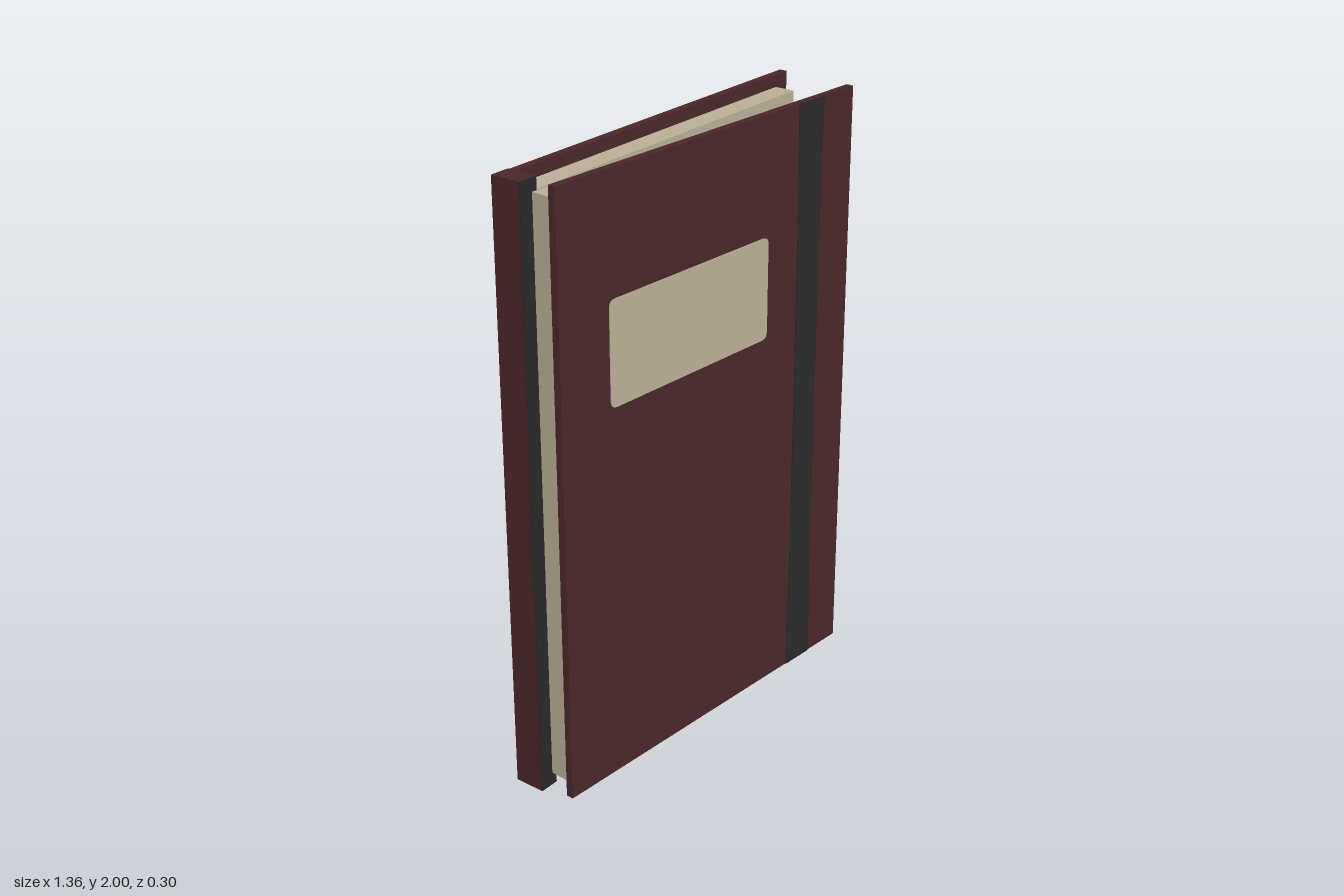
import * as THREE from 'three';

export function createModel() {
  const book = new THREE.Group();
  book.name = 'notebook';

  const mat = (name, color, side = THREE.FrontSide) => {
    const m = new THREE.MeshStandardMaterial({ color, side });
    m.name = name;
    return m;
  };
  const leather = mat('maroon leather', 0x4a2729);
  const paper = mat('cream paper', 0xb9af96);
  const elastic = mat('black elastic', 0x292929);

  const add = (parent, name, geometry, material) => {
    const mesh = new THREE.Mesh(geometry, material);
    mesh.name = name;
    parent.add(mesh);
    return mesh;
  };
  // Box given by its limits on each axis
  const block = (parent, name, [x0, x1], [y0, y1], [z0, z1], material) => {
    const g = new THREE.BoxGeometry(x1 - x0, y1 - y0, z1 - z0);
    g.translate((x0 + x1) / 2, (y0 + y1) / 2, (z0 + z1) / 2);
    return add(parent, name, g, material);
  };
  const full = [0, 2], pageHeight = [0.045, 1.96];

  // Back half: cover, page block and spine with a dark inner lining
  block(book, 'backCover', [-0.64, 0.68], full, [-0.145, -0.119], leather);
  block(book, 'backPages', [-0.612, 0.622], pageHeight, [-0.119, -0.05], paper);
  block(book, 'spine', [-0.68, -0.612], full, [-0.15, -0.048], leather);
  block(book, 'spineLining', [-0.68, -0.612], full, [-0.048, -0.045], elastic);

  // Front half, swung slightly open
  const front = new THREE.Group();
  front.name = 'frontHalf';
  front.position.set(0.008, 0, 0.088);
  front.rotation.y = -0.069;
  book.add(front);
  block(front, 'frontCover', [-0.66, 0.66], full, [-0.0125, 0.0125], leather);
  block(front, 'frontPages', [-0.648, 0.606], pageHeight, [-0.0875, -0.0125], paper);

  // Label plate with softened corners
  const [l, r, b, t, c] = [-0.458, 0.252, 1.27, 1.61, 0.025];
  const label = new THREE.Shape();
  label.moveTo(l + c, b);
  label.lineTo(r - c, b);
  label.quadraticCurveTo(r, b, r, b + c);
  label.lineTo(r, t - c);
  label.quadraticCurveTo(r, t, r - c, t);
  label.lineTo(l + c, t);
  label.quadraticCurveTo(l, t, l, t - c);
  label.lineTo(l, b + c);
  label.quadraticCurveTo(l, b, l + c, b);
  const plate = (name, shape, material) => {
    const g = new THREE.ExtrudeGeometry(shape, { depth: 0.003, bevelEnabled: false, curveSegments: 4 });
    add(front, name, g, material).position.z = 0.0125;
  };
  plate('label', label, paper);

  // Elastic band, slightly narrower along its middle
  const half = [[0, 0.06], [0.05, 0.06], [0.3, 0.055], [1, 0.053], [1.7, 0.055], [1.95, 0.06], [2, 0.06]];
  const outline = [
    ...half.map(([y, w]) => new THREE.Vector2(0.452 + w, y)),
    ...half.slice().reverse().map(([y, w]) => new THREE.Vector2(0.452 - w, y)),
  ];
  plate('elasticBand', new THREE.Shape(outline), elastic);

  return book;
}
